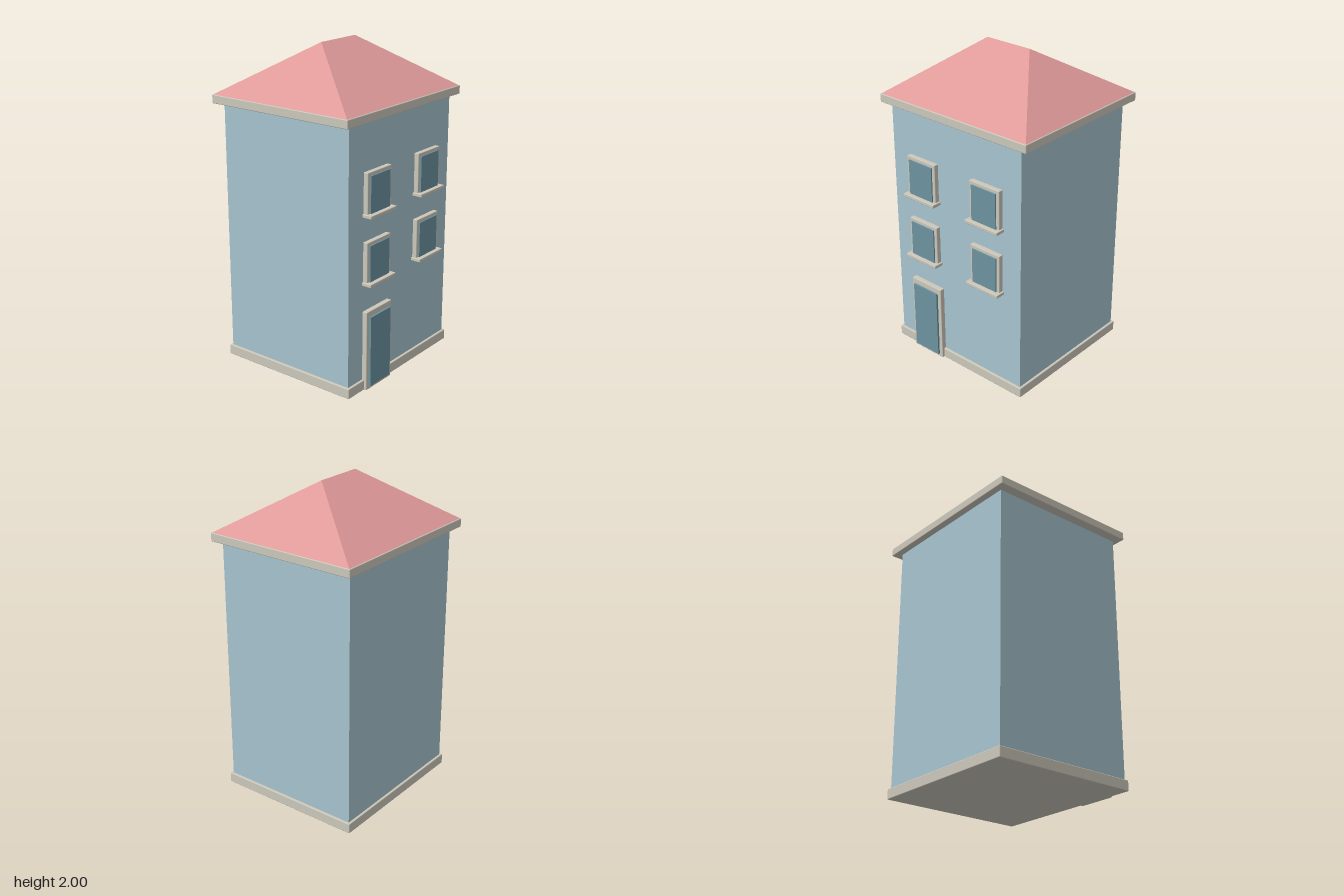
import * as THREE from 'three';
import { RoundedBoxGeometry } from 'three/addons/geometries/RoundedBoxGeometry.js';

const material = (name, color) => {
  const m = new THREE.MeshStandardMaterial({ color });
  m.name = name;
  return m;
};

export function createModel() {
  const wall = material('wall blue', 0xa6c3ce);
  const trim = material('stone trim', 0xcbc7ba);
  const tile = material('roof pink', 0xdf9999);
  const glass = material('glass blue', 0x6c93a0);

  const house = new THREE.Group();
  house.name = 'house';

  // Box given by its limits on each axis, with optionally softened edges
  const box = (name, mat, [x0, x1], [y0, y1], [z0, z1], radius = 0, parent = house) => {
    const size = [x1 - x0, y1 - y0, z1 - z0];
    const geometry = radius
      ? new RoundedBoxGeometry(...size, 2, radius)
      : new THREE.BoxGeometry(...size);
    const mesh = new THREE.Mesh(geometry, mat);
    mesh.name = name;
    mesh.position.set((x0 + x1) / 2, (y0 + y1) / 2, (z0 + z1) / 2);
    parent.add(mesh);
    return mesh;
  };

  // Main volume, plinth and eaves
  box('walls', wall, [-0.5, 0.5], [0.01, 1.66], [-0.474, 0.453]);
  box('plinth', trim, [-0.515, 0.515], [0, 0.065], [-0.489, 0.468], 0.005);
  box('eaves', trim, [-0.56, 0.56], [1.64, 1.693], [-0.516, 0.49], 0.005);

  // Hipped roof: four eave corners and two ridge ends
  const x = 0.558, y = 1.69, front = 0.488, back = -0.514;
  const corners = [[-x, y, front], [x, y, front], [x, y, back], [-x, y, back]];
  const ridge = [[-0.16, 2, -0.013], [0.16, 2, -0.013]];
  const [a, b, c, d] = corners;
  const [l, r] = ridge;
  const faces = [a, b, r, a, r, l, b, c, r, c, d, l, c, l, r, d, a, l, a, d, c, a, c, b];
  const roofGeometry = new THREE.BufferGeometry();
  roofGeometry.setAttribute('position', new THREE.Float32BufferAttribute(faces.flat(), 3));
  roofGeometry.computeVertexNormals();
  const roof = new THREE.Mesh(roofGeometry, tile);
  roof.name = 'roof';
  house.add(roof);

  // Windows: frame, raised pane and projecting sill
  for (const cx of [-0.25, 0.25]) {
    for (const sillY of [0.67, 1.086]) {
      const win = new THREE.Group();
      win.name = 'window';
      win.position.set(cx, sillY, 0);
      house.add(win);
      box('windowFrame', trim, [-0.113, 0.113], [0.01, 0.265], [0.44, 0.482], 0.004, win);
      box('windowPane', glass, [-0.092, 0.092], [0.015, 0.244], [0.481, 0.49], 0, win);
      box('windowSill', trim, [-0.124, 0.124], [0, 0.021], [0.45, 0.516], 0.004, win);
    }
  }

  // Door with surround
  const door = new THREE.Group();
  door.name = 'door';
  house.add(door);
  box('doorFrame', trim, [-0.365, -0.12], [0, 0.505], [0.44, 0.484], 0.004, door);
  box('doorPanel', glass, [-0.341, -0.145], [0.022, 0.47], [0.483, 0.497], 0, door);

  return house;
}
